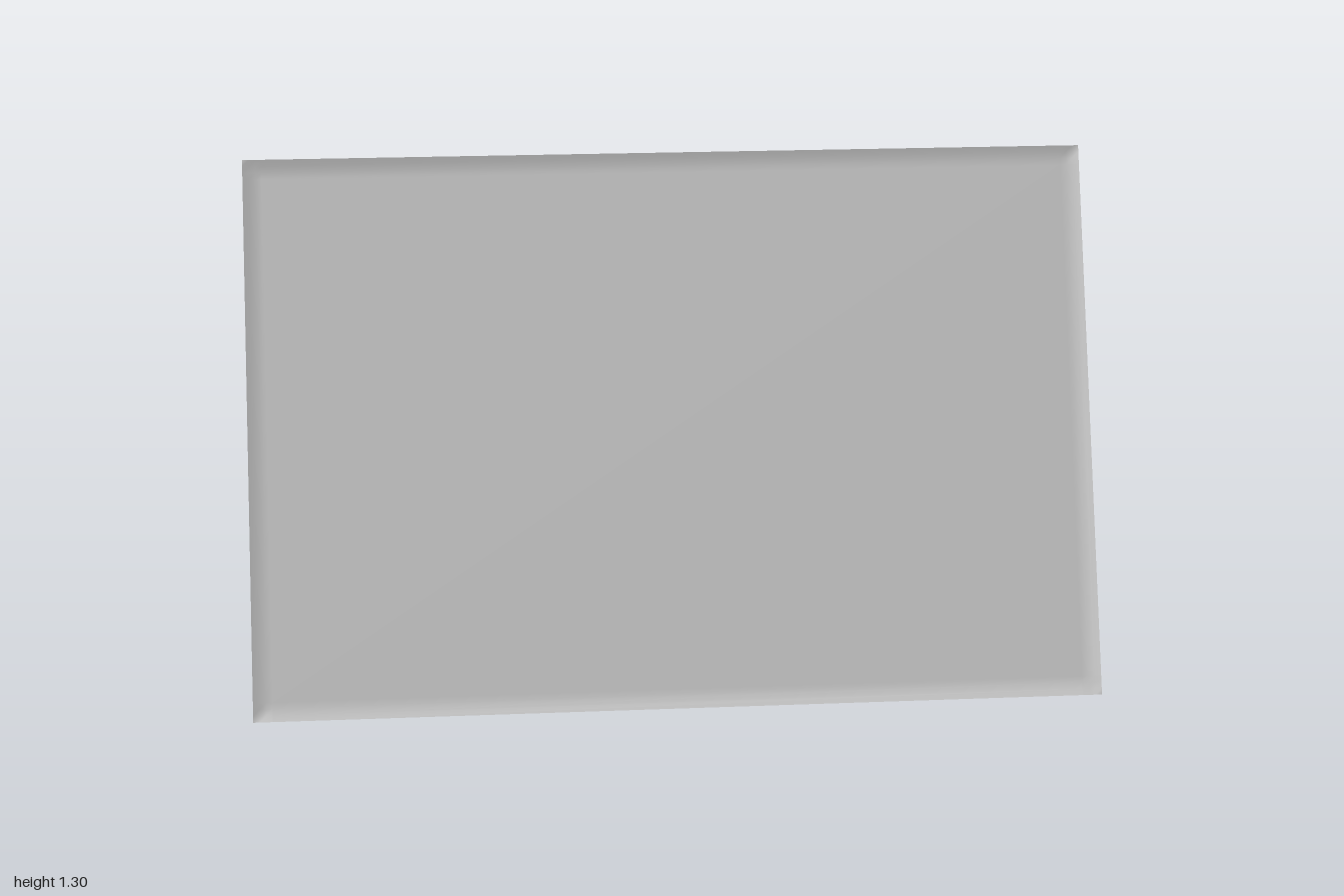
import * as THREE from 'three';

const WIDTH = 2, HEIGHT = 1.32, THICK = 0.04;
const RIM = 0.045, DISH = 0.008;

export function createModel() {
  const model = new THREE.Group();
  model.name = 'propStandPanel';
  const grey = new THREE.MeshStandardMaterial({ color: 0xcccccc });

  // Leaning panel, tilted back about its centre
  const panel = new THREE.Group();
  panel.name = 'panel';
  panel.position.set(0, 0.683, 0.087);
  panel.rotation.x = -Math.atan2(0.51, 1.216);
  model.add(panel);

  // Sides and back: a box whose front face is left out for the dished face
  const caseGeo = new THREE.BoxGeometry(WIDTH, HEIGHT, THICK);
  const index = Array.from(caseGeo.index.array);
  index.splice(24, 6);
  caseGeo.setIndex(index);
  caseGeo.clearGroups();
  const panelCase = new THREE.Mesh(caseGeo, grey);
  panelCase.name = 'panelCase';
  panel.add(panelCase);

  // Front face: a shallow dish that curves down from the outer edge
  const steps = [0, RIM / 3, RIM * 2 / 3, RIM];
  const stops = (size) => [...steps.map((s) => s - size / 2), ...steps.map((s) => size / 2 - s).reverse()];
  const xs = stops(WIDTH), ys = stops(HEIGHT).reverse();
  const faceGeo = new THREE.PlaneGeometry(WIDTH, HEIGHT, xs.length - 1, ys.length - 1);
  const pos = faceGeo.attributes.position;
  for (let i = 0; i < pos.count; i++) {
    const x = xs[i % xs.length], y = ys[Math.floor(i / xs.length)];
    const inset = Math.min(WIDTH / 2 - Math.abs(x), HEIGHT / 2 - Math.abs(y));
    const t = Math.min(inset / RIM, 1);
    pos.setXYZ(i, x, y, THICK / 2 - DISH * (1 - (1 - t) ** 2));
  }
  faceGeo.computeVertexNormals();
  const face = new THREE.Mesh(faceGeo, grey);
  face.name = 'frontFace';
  panel.add(face);

  // Rear leg: side profile in (z, y), extruded across the width
  const profile = new THREE.Shape([
    new THREE.Vector2(0.039, 0.745),
    new THREE.Vector2(0.026, 0.776),
    new THREE.Vector2(-0.36, 0.03),
    new THREE.Vector2(-0.34, 0),
  ]);
  const legGeo = new THREE.ExtrudeGeometry(profile, { depth: 0.32, bevelEnabled: false });
  legGeo.translate(0, 0, -0.16);
  legGeo.rotateY(-Math.PI / 2);
  const leg = new THREE.Mesh(legGeo, grey);
  leg.name = 'rearLeg';
  model.add(leg);

  return model;
}
